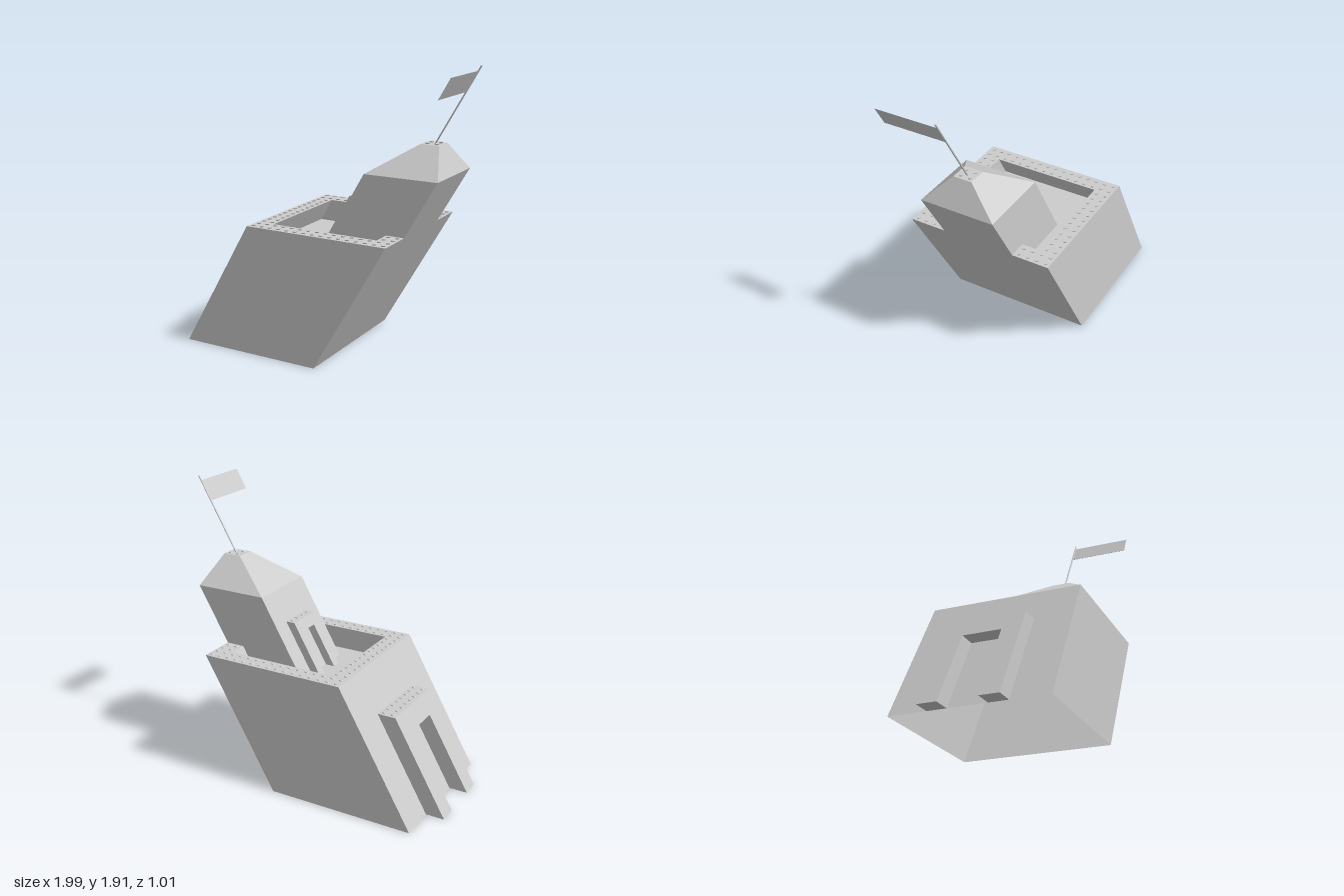
import * as THREE from 'three';

const UNIT = 0.062;             // stud spacing
const LEAN = 0.577;             // x shift per unit of height
const MID = -0.375;             // centre of the main block at ground level
const HALF = 8 * UNIT;
const DECK = 0.72, RIM = 0.87, EAVE = 1.24, TOP = 1.425;

export function createModel() {
  const root = new THREE.Group();
  root.name = 'leaningTower';
  const material = new THREE.MeshStandardMaterial({
    color: 0xcccccc, flatShading: true, side: THREE.DoubleSide,
  });

  // Everything is built upright, then leaned towards +x and turned slightly
  const lean = new THREE.Matrix4().set(
    1, LEAN, 0, 0,
    0, 1, 0, 0,
    0, 0, 1, -0.005,
    0, 0, 0, 1,
  ).premultiply(new THREE.Matrix4().makeRotationY(0.0135));

  function add(name, geometry, parent = root) {
    geometry.applyMatrix4(lean);
    const mesh = new THREE.Mesh(geometry, material);
    mesh.name = name;
    parent.add(mesh);
  }

  // Square-plan shell from a profile of [half width, height]
  function squareShell(profile, x) {
    const points = profile.map(([r, y]) => new THREE.Vector2(r * Math.SQRT2, y));
    const geometry = new THREE.LatheGeometry(points, 4, Math.PI / 4).toNonIndexed();
    geometry.computeVertexNormals();
    return geometry.translate(x, 0, 0);
  }

  // Doorway surround: two legs and a lintel, projecting towards -x
  function portal(width, opening, bottom, lintel, top, depth, backX) {
    const w = width / 2, o = opening / 2;
    const shape = new THREE.Shape([
      [-w, bottom], [-o, bottom], [-o, lintel], [o, lintel],
      [o, bottom], [w, bottom], [w, top], [-w, top],
    ].map(([x, y]) => new THREE.Vector2(x, y)));
    return new THREE.ExtrudeGeometry(shape, { depth, bevelEnabled: false })
      .rotateY(Math.PI / 2).translate(backX - depth, 0, 0);
  }

  // Grid of studs centred on (x, z); keep(i, j) filters positions
  function studs(name, x, y, nx, nz, keep = () => true) {
    const group = new THREE.Group();
    group.name = name;
    for (let i = 0; i < nx; i++) {
      for (let j = 0; j < nz; j++) {
        if (!keep(i, j)) continue;
        const stud = new THREE.CylinderGeometry(0.013, 0.013, 0.007, 8);
        stud.translate(x + (i - (nx - 1) / 2) * UNIT, y + 0.0035, (j - (nz - 1) / 2) * UNIT);
        add('stud', stud, group);
      }
    }
    root.add(group);
  }

  // Main block, open below, with a sunken roof deck behind a parapet
  const inner = HALF - 2 * UNIT;
  add('mainBlock', squareShell(
    [[HALF, 0], [HALF, RIM], [inner, RIM], [inner, DECK], [0, DECK]], MID));
  studs('parapetStuds', MID, RIM, 16, 16, (i, j) => {
    const onRim = i < 2 || i > 13 || j < 2 || j > 13;
    const underTower = i > 7 && j > 3 && j < 12;
    return onRim && !underTower;
  });

  // Upper tower, flush with the +x face of the main block
  const towerX = MID + HALF / 2;
  add('upperTower', squareShell([[HALF / 2, DECK], [HALF / 2, EAVE]], towerX));
  add('towerRoof', squareShell([[HALF / 2, EAVE], [UNIT, TOP], [0, TOP]], towerX));
  studs('roofStuds', towerX, TOP, 2, 2);

  // Entrance on the main block and the smaller one on the tower
  const wallX = MID - HALF;
  add('mainPortal', portal(8 * UNIT, 4 * UNIT, 0, 0.5, 0.62, 2 * UNIT, wallX));
  studs('mainPortalStuds', wallX - UNIT, 0.62, 2, 8);
  add('towerPortal', portal(4 * UNIT, 2 * UNIT, DECK, 0.99, 1.055, UNIT, MID));
  studs('towerPortalStuds', MID - UNIT / 2, 1.055, 1, 4);

  // Flagpole and flag
  add('flagpole', new THREE.CylinderGeometry(0.006, 0.006, 0.49, 8)
    .translate(-0.117, TOP + 0.245, 0));
  add('flag', new THREE.BoxGeometry(0.002, 0.13, 0.41).translate(-0.114, 1.82, 0.21));

  return root;
}
